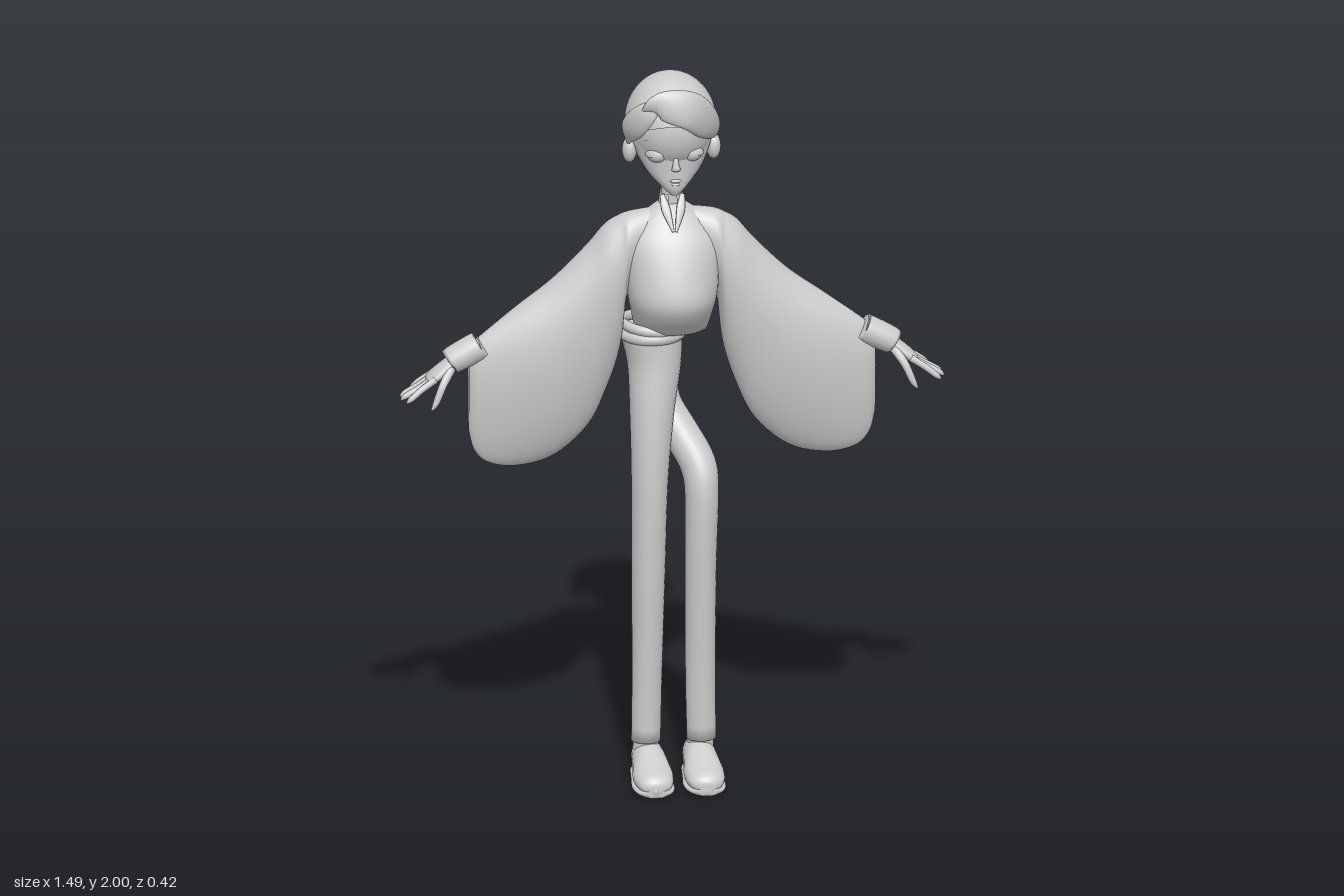
import * as THREE from 'three';

const V = (x, y, z) => new THREE.Vector3(x, y, z);
const clay = new THREE.MeshStandardMaterial({ color: 0xcccccc, side: THREE.DoubleSide });
clay.name = 'clay grey';

// Smooth closed loft through rows [x, y, z, halfWidthU, halfWidthV].
// ref points along V; axis fixes the ring plane, otherwise rings follow the path.
function loft(rows, { ref = V(0, 0, 1), axis = null, n = 24, steps = 5, pinch = 0, floor = -1 } = {}) {
  const path = new THREE.CatmullRomCurve3(rows.map(r => V(r[0], r[1], r[2])), false, 'catmullrom');
  const size = new THREE.CatmullRomCurve3(rows.map(r => V(r[3], r[4], 0)), false, 'catmullrom');
  const m = (rows.length - 1) * steps, pos = [], idx = [];
  for (let i = 0; i <= m; i++) {
    const t = i / m, c = path.getPoint(t), s = size.getPoint(t);
    const T = axis ? axis.clone() : path.getTangent(t);
    const v = ref.clone().addScaledVector(T, -ref.dot(T)).normalize();
    const u = v.clone().cross(T);
    for (let j = 0; j < n; j++) {
      const a = j / n * Math.PI * 2, k = 1 + pinch * Math.cos(a) * u.y;
      const p = c.clone().addScaledVector(u, Math.cos(a) * s.x).addScaledVector(v, Math.sin(a) * s.y * k);
      pos.push(p.x, Math.max(p.y, floor), p.z);
    }
  }
  for (let i = 0; i < m; i++) for (let j = 0; j < n; j++) {
    const a = i * n + j, b = i * n + (j + 1) % n;
    idx.push(a, b, a + n, b, b + n, a + n);
  }
  const c0 = path.getPoint(0), c1 = path.getPoint(1), k = pos.length / 3;
  pos.push(c0.x, c0.y, c0.z, c1.x, c1.y, c1.z);
  for (let j = 0; j < n; j++) {
    const q = (j + 1) % n;
    idx.push(k, q, j, k + 1, m * n + j, m * n + q);
  }
  const g = new THREE.BufferGeometry();
  g.setAttribute('position', new THREE.Float32BufferAttribute(pos, 3));
  g.setIndex(idx);
  g.computeVertexNormals();
  return g;
}

export function createModel() {
  const model = new THREE.Group();
  const add = (name, geo, x = 0, y = 0, z = 0, parent = model) => {
    const mesh = new THREE.Mesh(geo, clay);
    mesh.name = name;
    mesh.position.set(x, y, z);
    parent.add(mesh);
    return mesh;
  };
  const ball = (name, x, y, z, rx, ry, rz) =>
    add(name, new THREE.SphereGeometry(1, 24, 16).scale(rx, ry, rz), x, y, z);

  // Head: tapering face, skull and neck
  add('face', loft([
    [0, 1.678, .058, .012, .014], [0, 1.70, .04, .037, .04], [0, 1.74, .022, .073, .057],
    [0, 1.79, .002, .1, .08], [0, 1.84, -.008, .113, .094], [0, 1.9, -.02, .11, .1], [0, 1.95, -.02, .08, .08],
  ], { axis: V(0, 1, 0) }));
  ball('skull', 0, 1.858, -.022, .116, .132, .128);
  add('neck', new THREE.CylinderGeometry(.026, .028, .17, 24), 0, 1.665, -.012);
  add('nose', loft([[0, 1.80, .078, .006, .006], [0, 1.775, .084, .008, .009], [0, 1.757, .086, .012, .01], [0, 1.75, .08, .005, .005]], { axis: V(0, 1, 0).negate(), n: 12 }));
  ball('upperLip', 0, 1.722, .077, .016, .005, .008);
  ball('lowerLip', 0, 1.712, .076, .013, .005, .007);
  for (const s of [1, -1]) {
    ball('eye', s * .045, 1.795, .052, .031, .025, .032);
    const lid = add('eyelid', new THREE.SphereGeometry(1, 24, 10, 0, Math.PI * 2, 0, Math.PI * .5).scale(.035, .028, .036), s * .045, 1.797, .051);
    lid.rotation.z = -s * .2;
    add('eyebrow', loft([[s * .02, 1.858, .09, .003, .004], [s * .045, 1.857, .085, .006, .005], [s * .08, 1.838, .066, .002, .003]], { n: 10 }));
    ball('ear', s * .115, 1.79, -.005, .02, .036, .025);
  }

  // Hair: cap, swept fringe locks and a small bun
  const cap = add('hairCap', new THREE.SphereGeometry(1, 40, 24, 0, Math.PI * 2, 0, Math.PI * .59).scale(.125, .14, .135), 0, 1.86, -.021);
  cap.rotation.x = -.5;
  add('sweptFringe', loft([
    [-.095, 1.92, .085, .006, .004], [-.05, 1.95, .113, .038, .014], [.03, 1.935, .112, .052, .018],
    [.085, 1.885, .07, .046, .016], [.117, 1.842, .01, .025, .012], [.121, 1.822, -.05, .003, .003],
  ], { ref: V(.5, .1, .85) }));
  add('sideLock', loft([
    [-.04, 1.96, .105, .008, .004], [-.085, 1.925, .1, .032, .01], [-.118, 1.87, .06, .034, .011], [-.12, 1.815, .01, .004, .004],
  ], { ref: V(-.6, 0, .8) }));
  ball('hairTie', 0, 1.79, -.145, .022, .022, .02);
  ball('bun', .022, 1.795, -.178, .032, .034, .036);
  ball('bunLoop', -.02, 1.785, -.172, .028, .028, .032);

  // Jacket body
  add('jacketBody', loft([
    [0, 1.275, -.015, .1, .085], [0, 1.33, .004, .112, .113], [0, 1.38, .015, .122, .121], [0, 1.45, .01, .128, .109],
    [0, 1.53, .002, .13, .083], [0, 1.585, -.008, .1, .058], [0, 1.62, -.011, .058, .04], [0, 1.635, -.012, .035, .034],
  ], { axis: V(0, 1, 0), n: 36 }));
  add('collar', new THREE.CylinderGeometry(.031, .038, .055, 28, 1, true, .35, Math.PI * 2 - .7), 0, 1.637, -.01);
  for (const s of [1, -1])
    add('lapel', loft([[s * .028, 1.662, .012, .006, .003], [s * .02, 1.625, .034, .012, .004], [s * .004, 1.57, .062, .003, .003]], { n: 12 }));

  // Sleeve sections: x, top, bottom, centre z, half thickness
  const sleeve = [
    [.04, 1.622, 1.47, -.01, .035], [.10, 1.613, 1.40, -.01, .058], [.125, 1.607, 1.36, -.01, .066],
    [.142, 1.6, 1.22, -.012, .072], [.18, 1.575, 1.10, -.015, .08], [.23, 1.515, 1.0, -.018, .085],
    [.32, 1.425, .92, -.02, .088], [.42, 1.352, .895, -.015, .072], [.5, 1.294, .91, -.006, .046],
    [.54, 1.262, .95, -.002, .03], [.556, 1.24, 1.01, 0, .016],
  ];
  for (const s of [1, -1]) {
    add('sleeve', loft(sleeve.map(([x, t, b, z, h]) => [s * x, (t + b) / 2, z, (t - b) / 2, h]),
      { axis: V(s, 0, 0), n: 36, pinch: .25 }));
    // Cuff, palm, fingers and thumb
    add('cuff', loft([[s * .525, 1.25, 0, .034, .036], [s * .53, 1.247, 0, .04, .042], [s * .598, 1.212, 0, .037, .042], [s * .603, 1.209, 0, .03, .035]]));
    add('palm', loft([[s * .58, 1.22, 0, .02, .024], [s * .615, 1.194, 0, .019, .034], [s * .65, 1.168, 0, .015, .04], [s * .668, 1.155, 0, .008, .036]]));
    for (let i = 0; i < 4; i++) {
      const z = (i - 1.5) * .02, tip = [.72, .74, .742, .73][i];
      add('finger', loft([[s * .65, 1.167, z, .01, .01], [s * .69, 1.14, z * 1.2, .009, .009],
        [s * (tip - .012), 1.118, z * 1.4, .008, .008], [s * tip, 1.108, z * 1.45, .003, .003]], { n: 12 }));
    }
    add('thumb', loft([[s * .605, 1.195, .022, .013, .012], [s * .632, 1.155, .048, .011, .011], [s * .652, 1.11, .058, .009, .009], [s * .664, 1.09, .06, .003, .003]], { n: 12 }));
  }

  // Trousers: straight right leg with the hip, left thigh swinging behind it
  add('rightLeg', loft([
    [-.076, .11, .038, .04, .038], [-.073, .3, .039, .041, .042], [-.07, .6, .045, .046, .052], [-.066, .85, .043, .05, .059],
    [-.057, 1.05, .022, .061, .067], [-.047, 1.18, -.008, .074, .08], [-.055, 1.275, -.018, .085, .085],
  ], { n: 28 }));
  add('leftLeg', loft([
    [.076, .11, .038, .04, .038], [.073, .3, .039, .041, .042], [.073, .6, .045, .043, .052], [.076, .81, .045, .046, .056],
    [.068, .89, .02, .05, .056], [.03, .96, -.03, .05, .056], [-.012, 1.03, -.078, .051, .058],
    [-.024, 1.1, -.095, .053, .056], [-.032, 1.18, -.078, .06, .053], [-.045, 1.26, -.05, .06, .055],
  ], { n: 28 }));

  // Shoes with soles and ankle bands
  for (const s of [1, -1]) {
    const x = s * .07;
    const shoe = [[-.03, .045, .02, .025], [-.015, .052, .038, .048], [.03, .055, .044, .055], [.08, .05, .049, .05],
      [.14, .036, .055, .038], [.19, .03, .045, .027], [.21, .022, .018, .015]];
    add('shoe', loft(shoe.map(([z, y, a, b]) => [x, y, z, a, b]), { axis: V(0, 0, 1), ref: V(0, 1, 0), floor: .004 }));
    add('sole', loft(shoe.map(([z, , a]) => [x, .01, z, a + .003, .014]), { axis: V(0, 0, 1), ref: V(0, 1, 0), floor: 0 }));
    add('ankle', new THREE.CylinderGeometry(.034, .036, .05, 24), s * .075, .105, .03);
  }

  // Belts around the waist
  const belt = (name, y, r, tilt) => {
    const m = add(name, new THREE.TorusGeometry(r, .011, 10, 48).rotateX(Math.PI / 2).scale(1, 1.3, 1), -.053, y, -.018);
    m.rotation.z = tilt;
  };
  belt('waistBelt', 1.262, .083, 0);
  belt('looseBelt', 1.283, .08, -.12);
  add('beltRing', new THREE.TorusGeometry(.018, .005, 8, 20), .02, 1.262, -.105);

  // Studded pouch hanging at the back
  const pouch = new THREE.Group();
  pouch.name = 'pouch';
  pouch.position.set(-.025, 1.188, -.155);
  pouch.rotation.x = .06;
  model.add(pouch);
  add('pouchBody', new THREE.CylinderGeometry(.062, .048, .13, 4, 1).rotateY(Math.PI / 4).toNonIndexed(), 0, -.008, 0, pouch).geometry.computeVertexNormals();
  add('pouchRim', new THREE.BoxGeometry(.094, .016, .094), 0, .06, 0, pouch);
  for (let side = 0; side < 4; side++) for (let i = 0; i < 3; i++) for (const k of [-1, 1]) {
    const y = .03 - i * .035, d = .0385 + y * .07, a = side * Math.PI / 2;
    add('stud', new THREE.SphereGeometry(.005, 8, 6), Math.sin(a) * d + Math.cos(a) * k * .018, y, Math.cos(a) * d - Math.sin(a) * k * .018, pouch);
  }
  return model;
}
